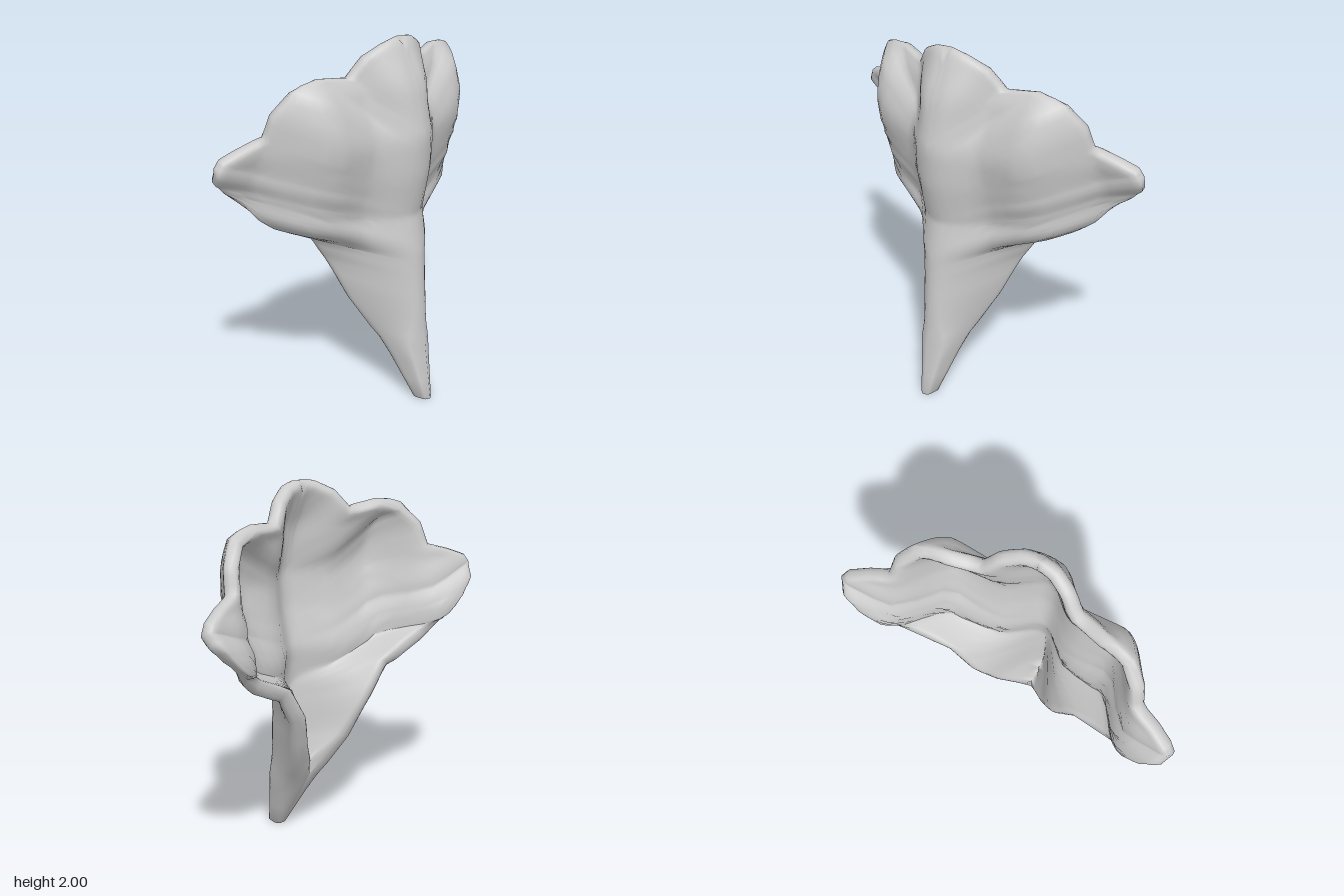
import * as THREE from 'three';
import { mergeVertices } from 'three/addons/utils/BufferGeometryUtils.js';

// Ribs from the base to the top lobe:
// rim x, rim y, rim z, height where the rib leaves the spine, half thickness
const RIBS = [
  [0.012, 0, 0.235, 0, 0.028],
  [0.035, 0.36, 0.01, 0.32, 0.095],
  [0.17, 0.59, -0.11, 0.5, 0.055],
  [0.27, 0.82, -0.185, 0.68, 0.047],
  [0.38, 0.99, -0.2, 0.8, 0.042],
  [0.60, 1.10, -0.25, 0.87, 0.04],
  [0.72, 1.19, -0.29, 0.92, 0.04],
  [0.85, 1.31, -0.32, 0.98, 0.04],
  [0.92, 1.39, -0.32, 1.03, 0.04],
  [0.95, 1.46, -0.27, 1.08, 0.04],
  [0.92, 1.51, -0.26, 1.12, 0.04],
  [0.83, 1.55, -0.22, 1.17, 0.04],
  [0.71, 1.59, -0.18, 1.22, 0.04],
  [0.68, 1.71, -0.15, 1.32, 0.04],
  [0.59, 1.81, -0.10, 1.42, 0.04],
  [0.45, 1.85, -0.06, 1.50, 0.04],
  [0.28, 1.83, -0.01, 1.56, 0.04],
  [0.20, 1.93, 0.03, 1.70, 0.04],
  [0.10, 1.98, 0.07, 1.85, 0.04],
  [0, 2, 0.085, 2, 0.04],
];
// Front ridge: height, z
const RIDGE = [[0, 0.34], [0.43, 0.285], [0.85, 0.255], [1.07, 0.22], [1.3, 0.265],
  [1.5, 0.28], [1.76, 0.23], [1.9, 0.165], [2, 0.125]];
const HALF = [0.04, 0.09, 0.15, 0.22, 0.3, 0.38, 0.47, 0.56, 0.65, 0.74, 0.82, 0.88, 0.92, 0.95, 0.975, 0.99, 1];
const ACROSS = [...HALF.map((u) => -u).reverse(), 0, ...HALF];
const SUB = 3;
const { smoothstep } = THREE.MathUtils;

function ridgeZ(y) {
  let k = 1;
  while (k < RIDGE.length - 1 && RIDGE[k][0] < y) k++;
  const [y0, z0] = RIDGE[k - 1], [y1, z1] = RIDGE[k];
  return z0 + (z1 - z0) * (y - y0) / (y1 - y0);
}

// Fall-off behind the ridge: narrow nose, flat shoulder, swept-back wing
const dropZ = (x) => 0.11 * smoothstep(x, 0.03, 0.24) + 0.24 * smoothstep(x, 0.46, 0.72) + 0.12 * x;

function subdivideRibs() {
  const rows = [];
  for (let i = 0; i < RIBS.length - 1; i++) {
    for (let k = 0; k < SUB; k++) {
      rows.push(RIBS[i].map((v, n) => v + (RIBS[i + 1][n] - v) * k / SUB));
    }
  }
  rows.push(RIBS[RIBS.length - 1]);
  return rows;
}

function petalGeometry() {
  const rows = subdivideRibs(), cols = ACROSS.length;
  const rim = rows.map((r) => new THREE.Vector3(r[0], r[1], r[2]));

  // Middle surface: ribs follow the common relief and bend to meet the rim
  const mid = [], sheet = [];
  for (const [px, py, pz, s, h] of rows) {
    const bend = pz - (ridgeZ(py) - h - dropZ(px));
    for (const c of ACROSS) {
      const u = Math.abs(c), x = px * u, y = s + (py - s) * u;
      mid.push(px * c, y, ridgeZ(y) - h - dropZ(x) + bend * Math.pow(u, 1.5));
    }
  }
  for (let i = 0; i < rows.length - 1; i++) {
    for (let j = 0; j < cols - 1; j++) {
      const a = i * cols + j, b = a + 1, c = a + cols, d = c + 1;
      // diagonals mirror about the spine
      if (ACROSS[j] < 0) sheet.push(a, b, c, b, d, c);
      else sheet.push(a, b, d, a, d, c);
    }
  }
  const middle = new THREE.BufferGeometry();
  middle.setAttribute('position', new THREE.Float32BufferAttribute(mid, 3));
  middle.setIndex(sheet);
  middle.computeVertexNormals();

  // Front and back sheets, offset along the normal and rounded off at the rim
  const count = mid.length / 3, front = [], back = [];
  const p = new THREE.Vector3(), n = new THREE.Vector3(), q = new THREE.Vector3();
  for (let k = 0; k < count; k++) {
    p.fromArray(mid, 3 * k);
    n.fromBufferAttribute(middle.attributes.normal, k);
    const row = Math.floor(k / cols), side = Math.sign(ACROSS[k % cols]), h = rows[row][4];
    q.set(Math.abs(p.x), p.y, p.z);
    const d = Math.min(...rim.map((r) => r.distanceTo(q)));
    const t = 1 - Math.min(d / h, 1), off = h * Math.sqrt(1 - t * t);
    const f = p.clone().addScaledVector(n, off), b = p.clone().addScaledVector(n, -off);
    b.x = side * Math.max(b.x * side, 0); // the two walls fuse in the narrow stem
    for (const v of [f, b]) v.y = row === 0 ? 0 : Math.max(v.y, 0);
    front.push(f.x, f.y, f.z);
    back.push(b.x, b.y, b.z);
  }
  const index = [...sheet];
  for (let k = 0; k < sheet.length; k += 3) {
    index.push(sheet[k] + count, sheet[k + 2] + count, sheet[k + 1] + count);
  }
  // Flat foot
  for (let j = 0; j < cols - 1; j++) {
    index.push(j, j + count, j + 1, j + 1, j + count, j + 1 + count);
  }
  const geometry = new THREE.BufferGeometry();
  geometry.setAttribute('position', new THREE.Float32BufferAttribute([...front, ...back], 3));
  geometry.setIndex(index);
  const welded = mergeVertices(geometry, 1e-4);
  welded.computeVertexNormals();
  return welded;
}

export function createModel() {
  const group = new THREE.Group();
  group.name = 'scallopedPetal';
  const petal = new THREE.Mesh(petalGeometry(),
    new THREE.MeshStandardMaterial({ color: 0xcccccc, side: THREE.DoubleSide }));
  petal.name = 'petal';
  group.add(petal);
  return group;
}
